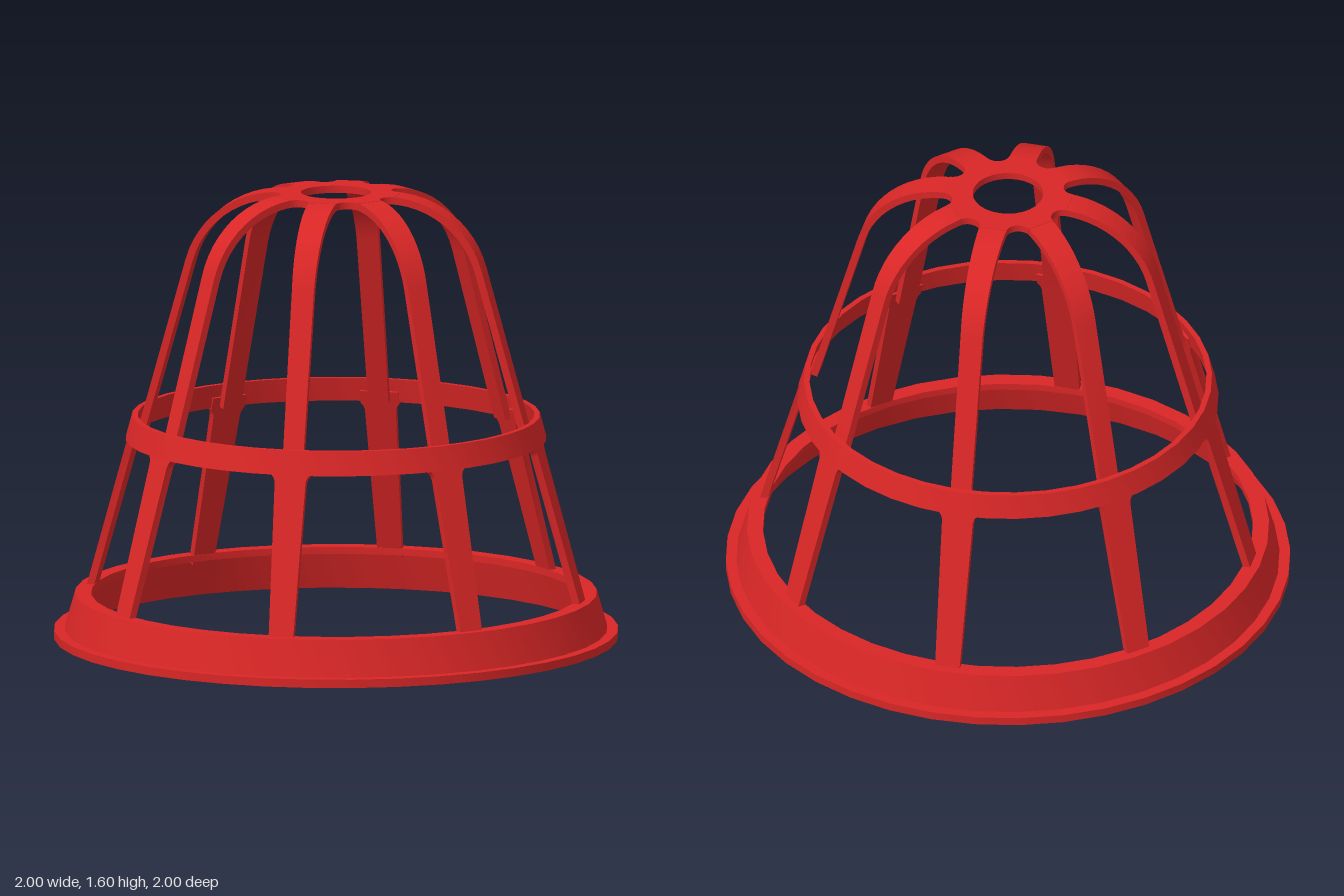
import * as THREE from 'three';
import { toCreasedNormals } from 'three/addons/utils/BufferGeometryUtils.js';

const RIBS = 8, STEP = (Math.PI * 2) / RIBS, THICK = 0.026;
const TOP = 1.6, BEND = 0.35, LEAN = Math.atan(0.28);
const red = new THREE.MeshStandardMaterial({ color: 0xd92626 });

function mesh(name, geometry, parent) {
  const m = new THREE.Mesh(toCreasedNormals(geometry, 0.5), red);
  m.name = name;
  parent.add(m);
  return m;
}

// Closed ring from a counter-clockwise (radius, height) outline
function ring(name, outline, parent) {
  const pts = [...outline, outline[0]].map(([r, y]) => new THREE.Vector2(r, y));
  return mesh(name, new THREE.LatheGeometry(pts, 40), parent);
}

// Strip running outward along +x; stations are [radius, height, outward angle, width]
function ribGeometry(stations) {
  const pos = [], idx = [];
  for (const [r, y, a, w] of stations) {
    const ri = r - Math.cos(a) * THICK, yi = y - Math.sin(a) * THICK;
    pos.push(r, y, w / 2, r, y, -w / 2, ri, yi, -w / 2, ri, yi, w / 2);
  }
  const last = (stations.length - 1) * 4;
  for (let i = 0; i < last; i += 4) {
    for (let j = 0; j < 4; j++) {
      const k = (j + 1) % 4;
      idx.push(i + j, i + 4 + j, i + k, i + 4 + j, i + 4 + k, i + k);
    }
  }
  idx.push(0, 1, 2, 0, 2, 3, last, last + 2, last + 1, last, last + 3, last + 2);
  const g = new THREE.BufferGeometry();
  g.setAttribute('position', new THREE.Float32BufferAttribute(pos, 3));
  g.setIndex(idx);
  return g;
}

// Upper rib: round shoulder followed by a straight leaning leg
function upperRib() {
  const s = [];
  for (let i = 0; i <= 12; i++) {
    const a = THREE.MathUtils.lerp(Math.PI / 2, LEAN, i / 12);
    s.push([0.2 + BEND * Math.cos(a), TOP - BEND + BEND * Math.sin(a), a, 0.1 - 0.02 * i / 12]);
  }
  s.push([0.712, 0.72, LEAN, 0.074]);
  return ribGeometry(s);
}

// Lower rib: flares slightly where it meets the middle ring
function lowerRib() {
  const at = (y, w) => [0.74 + (0.71 - y) * 0.28, y, LEAN, w];
  return ribGeometry([at(0.76, 0.14), at(0.715, 0.14), at(0.705, 0.122), at(0.69, 0.112), at(0.13, 0.088)]);
}

// Top plate: short arms joined by rounded webs, with a round hole
function hubGeometry() {
  const half = 0.05, fillet = 0.043;
  const d = (half + fillet) / Math.sin(STEP / 2);
  const shape = new THREE.Shape();
  const sweep = Math.PI / 2 + STEP / 2;
  for (let k = 0; k < RIBS; k++) {
    const a = (k + 0.5) * STEP;
    shape.absarc(d * Math.cos(a), d * Math.sin(a), fillet, a - sweep, a + sweep, true);
  }
  shape.closePath();
  const hole = new THREE.Path();
  hole.absarc(0, 0, 0.125, 0, Math.PI * 2, true);
  shape.holes.push(hole);
  const g = new THREE.ExtrudeGeometry(shape, { depth: THICK, bevelEnabled: false, curveSegments: 14 });
  g.rotateX(-Math.PI / 2);
  g.translate(0, TOP - THICK, 0);
  return g;
}

export function createModel() {
  const model = new THREE.Group();
  model.name = 'domedCage';

  // Flanged base with an inner lip at its top
  ring('baseRing', [
    [0.94, 0], [1, 0], [1, 0.03], [0.962, 0.03], [0.925, 0.16],
    [0.868, 0.16], [0.868, 0.135], [0.902, 0.135],
  ], model);
  ring('middleRing', [[0.72, 0.715], [0.746, 0.715], [0.723, 0.8], [0.703, 0.8]], model);

  // Ribs and top plate, turned slightly off the main axes
  const cage = new THREE.Group();
  cage.name = 'ribCage';
  cage.rotation.y = THREE.MathUtils.degToRad(1.9);
  model.add(cage);
  mesh('topPlate', hubGeometry(), cage);
  for (let k = 0; k < RIBS; k++) {
    mesh('upperRib', upperRib(), cage).rotation.y = k * STEP;
    mesh('lowerRib', lowerRib(), cage).rotation.y = k * STEP;
  }
  return model;
}
